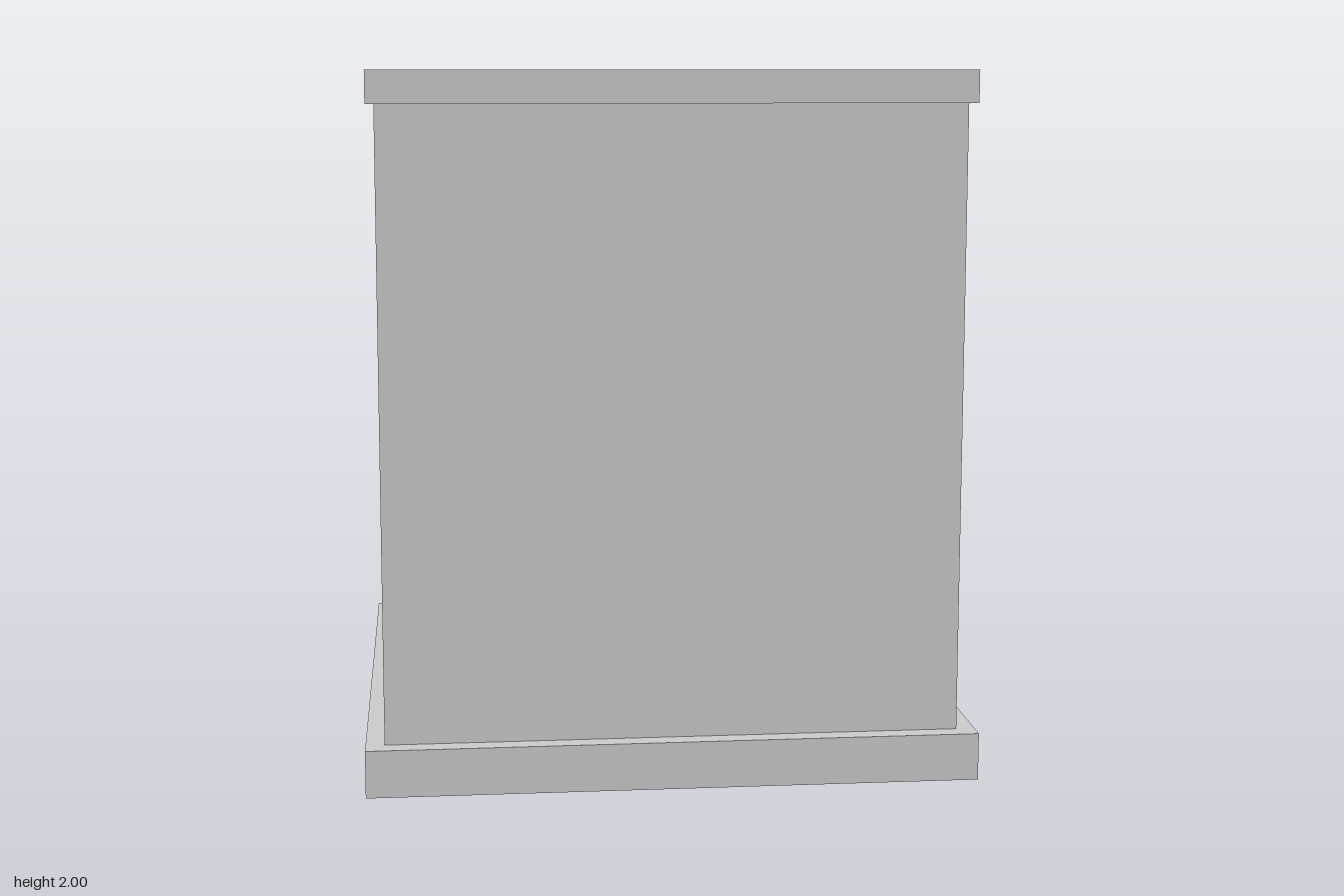
import * as THREE from 'three';

const material = new THREE.MeshStandardMaterial({ color: 0xcccccc, flatShading: true });

// Square outline of the given half width
function square(Type, h) {
  const s = new Type();
  s.moveTo(-h, -h);
  s.lineTo(h, -h);
  s.lineTo(h, h);
  s.lineTo(-h, h);
  s.closePath();
  return s;
}

// Upright square tube between two heights
function squareTube(name, outer, inner, y0, y1) {
  const shape = square(THREE.Shape, outer);
  shape.holes.push(square(THREE.Path, inner));
  const geometry = new THREE.ExtrudeGeometry(shape, { depth: y1 - y0, bevelEnabled: false });
  geometry.rotateX(-Math.PI / 2);
  const mesh = new THREE.Mesh(geometry, material);
  mesh.position.y = y0;
  mesh.name = name;
  return mesh;
}

export function createModel() {
  const group = new THREE.Group();
  group.name = 'squarePlanter';

  // Solid plinth, also the floor of the box
  const base = new THREE.Mesh(new THREE.BoxGeometry(1.73, 0.135, 1.73), material);
  base.position.y = 0.0675;
  base.name = 'base';
  group.add(base);

  // Thin walls, open at the top
  group.add(squareTube('walls', 0.812, 0.8, 0.135, 2));

  // Band around the upper edge
  group.add(squareTube('rim', 0.835, 0.812, 1.91, 2));

  return group;
}
